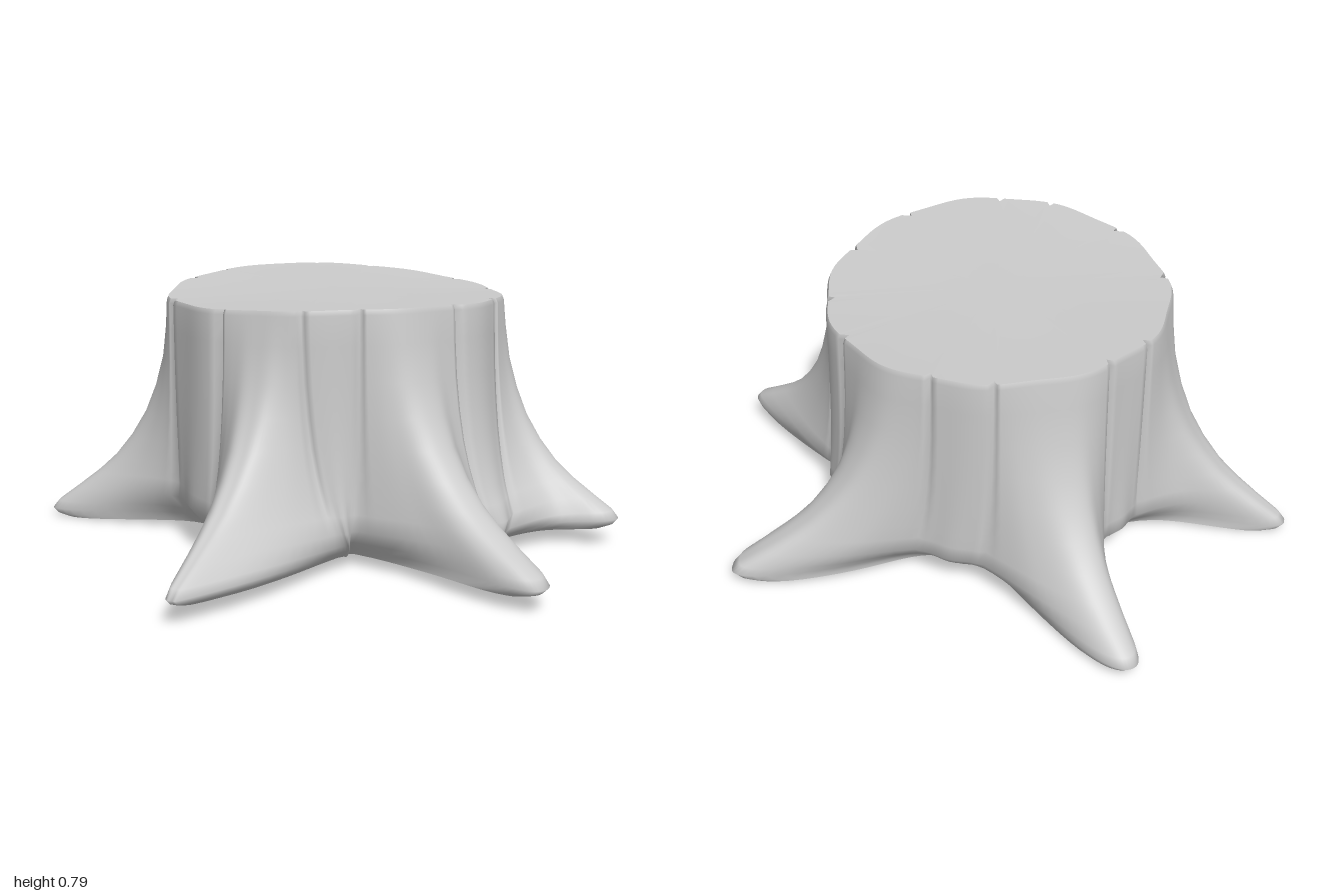
import * as THREE from 'three';

const CZ = -0.056, TOP_R = 0.533, SUB = 6;

// Each root: top angles of its two creases (0 = front, 90 = +x), tip height, ground outline [x, z]
const ROOTS = [
  { from: -9, to: 26, tip: 0.045, pts: [[-0.09, 0.5], [0.09, 0.73], [0.2, 0.93], [0.27, 0.995], [0.325, 0.93], [0.315, 0.7], [0.33, 0.58]] },
  { from: 55, to: 86, tip: 0.06, pts: [[0.42, 0.52], [0.6, 0.44], [0.73, 0.475], [0.78, 0.45], [0.765, 0.38], [0.67, 0.17], [0.56, -0.02]] },
  { from: 111, to: 149, tip: 0.015, pts: [[0.56, -0.12], [0.66, -0.23], [0.83, -0.32], [0.88, -0.38], [0.85, -0.44], [0.6, -0.485], [0.34, -0.49]] },
  { from: 170, to: 209, tip: 0.015, pts: [[0.13, -0.6], [-0.04, -0.81], [-0.18, -0.97], [-0.25, -1], [-0.28, -0.94], [-0.25, -0.75], [-0.26, -0.54]] },
  { from: 227, to: 270, tip: 0, pts: [[-0.39, -0.43], [-0.6, -0.39], [-0.83, -0.43], [-0.88, -0.41], [-0.86, -0.36], [-0.7, -0.22], [-0.53, -0.04]] },
  { from: 304, to: 332, tip: 0.05, pts: [[-0.5, 0.25], [-0.6, 0.48], [-0.715, 0.74], [-0.715, 0.79], [-0.66, 0.785], [-0.37, 0.65], [-0.15, 0.53]] },
];

// Flare profile: [height, how far the section reaches toward the ground outline]
const LEVELS = [
  [0.03, 0.88], [0.042, 0.96], [0.06, 1], [0.085, 0.95], [0.13, 0.79], [0.18, 0.62], [0.23, 0.48],
  [0.3, 0.34], [0.38, 0.22], [0.47, 0.13], [0.57, 0.06], [0.68, 0.02], [0.765, 0], [0.78, 0],
];

// One column of data for each step around the stump
function makeColumns() {
  const control = [], angles = [], creases = [];
  ROOTS.forEach((root, r) => {
    const next = ROOTS[(r + 1) % ROOTS.length];
    const nextFrom = next.from + (r === ROOTS.length - 1 ? 360 : 0);
    root.pts.forEach(([x, z], i) => {
      control.push(new THREE.Vector3(x, root.tip, z));
      angles.push(root.from + (root.to - root.from) * i / 6);
      creases.push(i === 0 || i === 6 ? 1 : 0);
    });
    // Hollow between neighbouring roots
    const [ax, az] = root.pts[6], [bx, bz] = next.pts[0];
    control.push(new THREE.Vector3((ax + bx) * 0.505, 0.03, (az + bz - 2 * CZ) * 0.505 + CZ));
    angles.push((root.to + nextFrom) / 2);
    creases.push(0);
  });
  const n = control.length;
  angles.push(angles[0] + 360);
  const curve = new THREE.CatmullRomCurve3(control, true, 'catmullrom', 0.5);
  const columns = [];
  for (let j = 0; j < n * SUB; j++) {
    const i = Math.floor(j / SUB), t = (j % SUB) / SUB;
    const a = THREE.MathUtils.degToRad(THREE.MathUtils.lerp(angles[i], angles[i + 1], t));
    const base = curve.getPoint(j / (n * SUB));
    const out = THREE.MathUtils.smoothstep(Math.hypot(base.x, base.z - CZ), 0.55, 0.95);
    columns.push({ a, base, out, crease: t === 0 ? creases[i] : 0 });
  }
  return columns;
}

// Position on the bark surface for a column and a level
function barkPoint({ a, base, out, crease }, [h, f]) {
  const rim = h > 0.77 ? 0.006 : 0;
  const bark = 0.006 * Math.sin(a * 11 + 1);
  const r = TOP_R + bark - rim - crease * 0.02;
  const tx = Math.sin(a) * r, tz = Math.cos(a) * r * 1.025;
  // Hollows and root flanks tuck in toward the ground
  const tuck = 1 - 0.2 * (1 - out) * (1 - THREE.MathUtils.smoothstep(h, 0.01, 0.14));
  const k = h / 0.78;
  const y = h + (base.y - 0.03) * out * f + k * k * k * (0.015 * Math.cos(2 * a) - 0.003 * Math.sin(a + 0.4));
  return [
    THREE.MathUtils.lerp(tx, base.x, f) * tuck,
    y,
    THREE.MathUtils.lerp(tz, base.z - CZ, f) * tuck + CZ,
  ];
}

function makeGeometry(positions, index) {
  const g = new THREE.BufferGeometry();
  g.setAttribute('position', new THREE.Float32BufferAttribute(positions, 3));
  g.setIndex(index);
  g.computeVertexNormals();
  return g;
}

// Flared trunk and roots, lofted from ground to cut
function makeBark(columns) {
  const positions = [], index = [], n = columns.length;
  for (const level of LEVELS) for (const col of columns) positions.push(...barkPoint(col, level));
  for (let i = 0; i < LEVELS.length - 1; i++) {
    for (let j = 0; j < n; j++) {
      const k = (j + 1) % n;
      const a = i * n + j, b = i * n + k, c = a + n, d = b + n;
      index.push(a, b, d, a, d, c);
    }
  }
  return makeGeometry(positions, index);
}

// Fan closing one end of the trunk
function makeCap(columns, level, centreY, up) {
  const positions = [0, centreY, CZ], index = [], n = columns.length;
  columns.forEach((col, j) => {
    positions.push(...barkPoint(col, level));
    const a = j + 1, b = (j + 1) % n + 1;
    index.push(0, up ? a : b, up ? b : a);
  });
  return makeGeometry(positions, index);
}

export function createModel() {
  const wood = new THREE.MeshStandardMaterial({ color: 0xcccccc });
  wood.name = 'wood grey';
  const stump = new THREE.Group();
  stump.name = 'treeStump';
  const columns = makeColumns();
  const add = (name, geometry) => {
    const mesh = new THREE.Mesh(geometry, wood);
    mesh.name = name;
    stump.add(mesh);
  };
  add('trunkAndRoots', makeBark(columns));
  add('cutTop', makeCap(columns, LEVELS[LEVELS.length - 1], 0.78, true));
  add('underside', makeCap(columns, LEVELS[0], 0.03, false));
  return stump;
}
